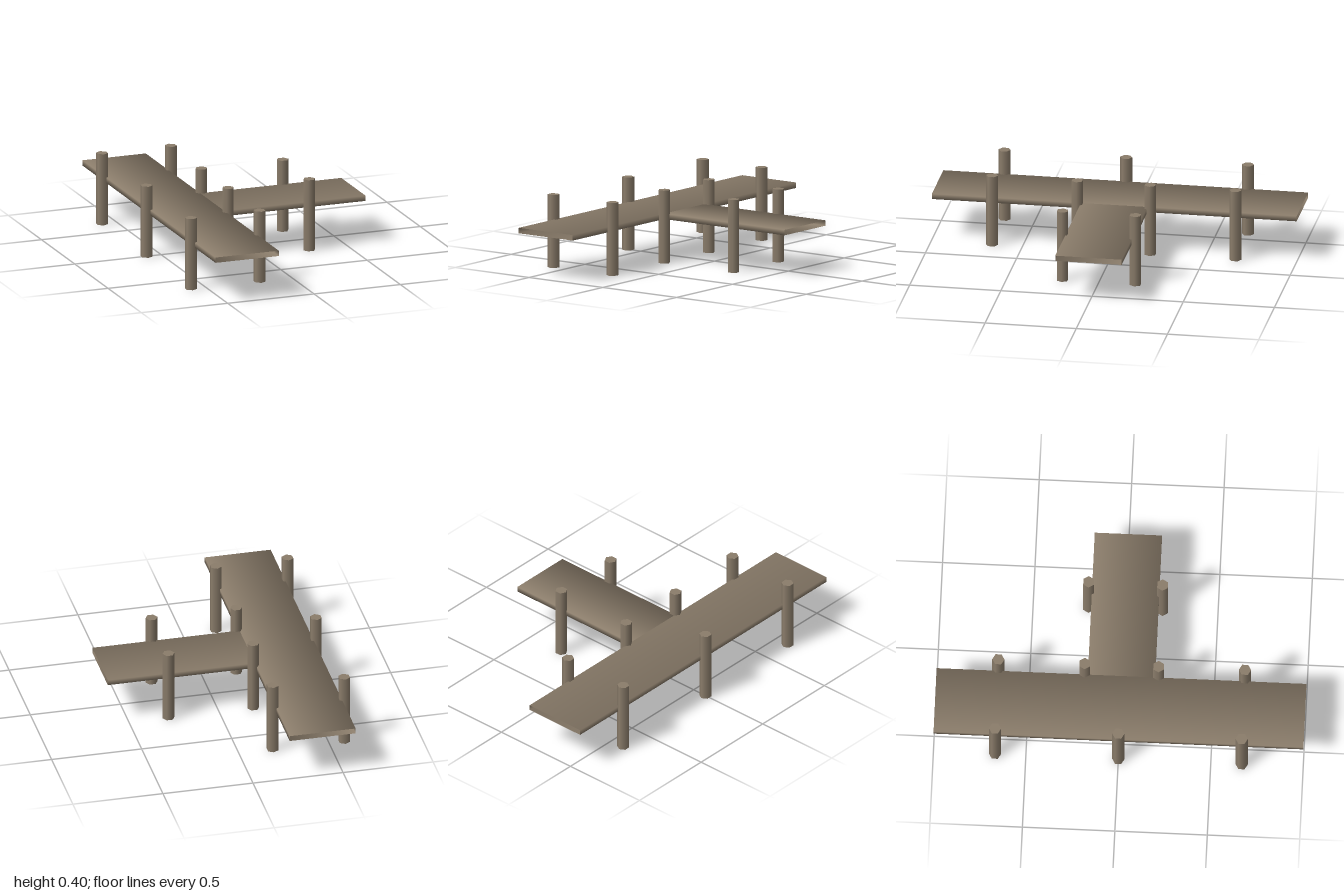
import * as THREE from 'three';

const BOTTOM = 0.235, TOP = 0.265;

// Flat walkway along z: top, underside and two edges, open at both ends,
// with normals leaning outward at the corners for a softly rounded look
function walkway(width, length, material) {
  const corners = [[-1, 1], [1, 1], [1, -1], [-1, -1]];
  const points = [], normals = [], index = [];
  for (const end of [-1, 1]) {
    for (const [sx, sy] of corners) {
      points.push(sx * width / 2, sy > 0 ? TOP : BOTTOM, end * length / 2);
      normals.push(sx * Math.SQRT1_2, sy * Math.SQRT1_2, 0);
    }
  }
  for (let a = 0; a < 4; a++) {
    const b = (a + 1) % 4;
    index.push(a, a + 4, b + 4, a, b + 4, b);
  }
  const geometry = new THREE.BufferGeometry();
  geometry.setAttribute('position', new THREE.Float32BufferAttribute(points, 3));
  geometry.setAttribute('normal', new THREE.Float32BufferAttribute(normals, 3));
  geometry.setIndex(index);
  return new THREE.Mesh(geometry, material);
}

export function createModel() {
  const dock = new THREE.Group();
  dock.name = 'dock';
  const wood = new THREE.MeshStandardMaterial({ color: 0x8b7d6b, side: THREE.DoubleSide });
  wood.name = 'weathered wood';

  // Long main walkway
  const main = walkway(0.366, 2, wood);
  main.name = 'mainWalkway';
  main.position.x = -0.387;
  dock.add(main);

  // Side branch, butted against the main walkway
  const branch = walkway(0.364, 0.817, wood);
  branch.name = 'branchWalkway';
  branch.rotation.y = Math.PI / 2;
  branch.position.x = 0.2045;
  dock.add(branch);

  // Six-sided posts along both walkways
  const postGeometry = new THREE.CylinderGeometry(0.033, 0.033, 0.4, 6);
  const addPost = (x, z, turn) => {
    const post = new THREE.Mesh(postGeometry, wood);
    post.name = 'post';
    post.position.set(x, 0.2, z);
    post.rotation.y = turn;
    dock.add(post);
  };
  addPost(-0.585, 0, 0);
  for (const side of [-1, 1]) {
    for (const x of [-0.585, -0.187]) addPost(x, side * 0.667, 0);
    for (const x of [-0.19, 0.28]) addPost(x, side * 0.2, Math.PI / 2);
  }
  return dock;
}
